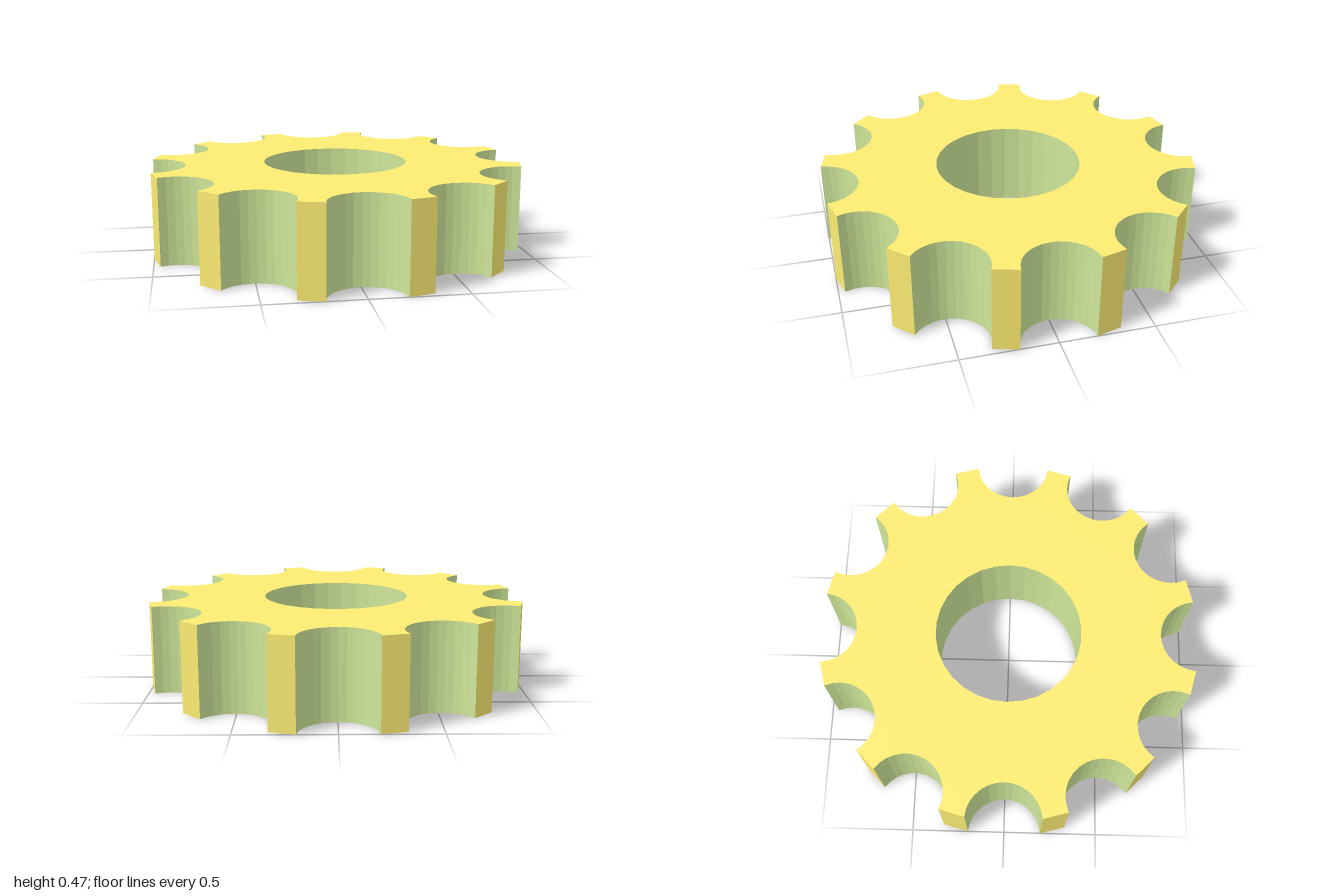
import * as THREE from 'three';

const HEIGHT = 0.47, LOBES = 12;
const RING = 1.017, NOTCH_R = 0.198; // notch centre distance and radius
const HOLE_R = 0.393, SIDES = 30;

const yellow = new THREE.MeshStandardMaterial({ color: 0xfcec73, flatShading: true });
const green = new THREE.MeshStandardMaterial({ color: 0xcee699, flatShading: true });

// Vertical wall along a plan path; faces the right-hand side of travel
function wall(points) {
  const pos = [];
  for (let i = 0; i < points.length - 1; i++) {
    const a = points[i], b = points[i + 1];
    const q = [[a, 0], [b, 0], [b, HEIGHT], [a, 0], [b, HEIGHT], [a, HEIGHT]];
    for (const [p, y] of q) pos.push(p.x, y, -p.y);
  }
  const g = new THREE.BufferGeometry();
  g.setAttribute('position', new THREE.Float32BufferAttribute(pos, 3));
  g.computeVertexNormals();
  return g;
}

// One scallop on the +x side, running counter-clockwise around the knob
function notchPath() {
  const pts = [new THREE.Vector2(1, -0.197)];
  for (let d = 264; d >= 96; d -= 360 / SIDES) {
    const a = THREE.MathUtils.degToRad(d);
    pts.push(new THREE.Vector2(RING + NOTCH_R * Math.cos(a), NOTCH_R * Math.sin(a)));
  }
  pts.push(new THREE.Vector2(1, 0.197));
  return pts;
}

export function createModel() {
  const group = new THREE.Group();
  const add = (name, geometry, material) => {
    const mesh = new THREE.Mesh(geometry, material);
    mesh.name = name;
    group.add(mesh);
    return mesh;
  };

  const origin = new THREE.Vector2();
  const notches = Array.from({ length: LOBES }, (_, i) =>
    notchPath().map(p => p.rotateAround(origin, i * 2 * Math.PI / LOBES)));

  // Scalloped notches and the flat tooth tips between them
  notches.forEach((path, i) => {
    const next = notches[(i + 1) % LOBES];
    add('notch' + (i + 1), wall(path), green);
    add('toothTip' + (i + 1), wall([path[path.length - 1], next[0]]), yellow);
  });

  // Central bore, clockwise so it faces inward
  const hole = [];
  for (let i = 0; i <= SIDES; i++) {
    const a = -i * 2 * Math.PI / SIDES;
    hole.push(new THREE.Vector2(HOLE_R * Math.cos(a), HOLE_R * Math.sin(a)));
  }
  add('bore', wall(hole), green);

  // Top and bottom faces
  const shape = new THREE.Shape(notches.flat());
  shape.holes.push(new THREE.Path(hole.slice(0, -1)));
  const face = new THREE.ShapeGeometry(shape);
  add('topFace', face.clone().rotateX(-Math.PI / 2).translate(0, HEIGHT, 0), yellow);
  add('bottomFace', face.clone().rotateX(Math.PI / 2), yellow);

  return group;
}
